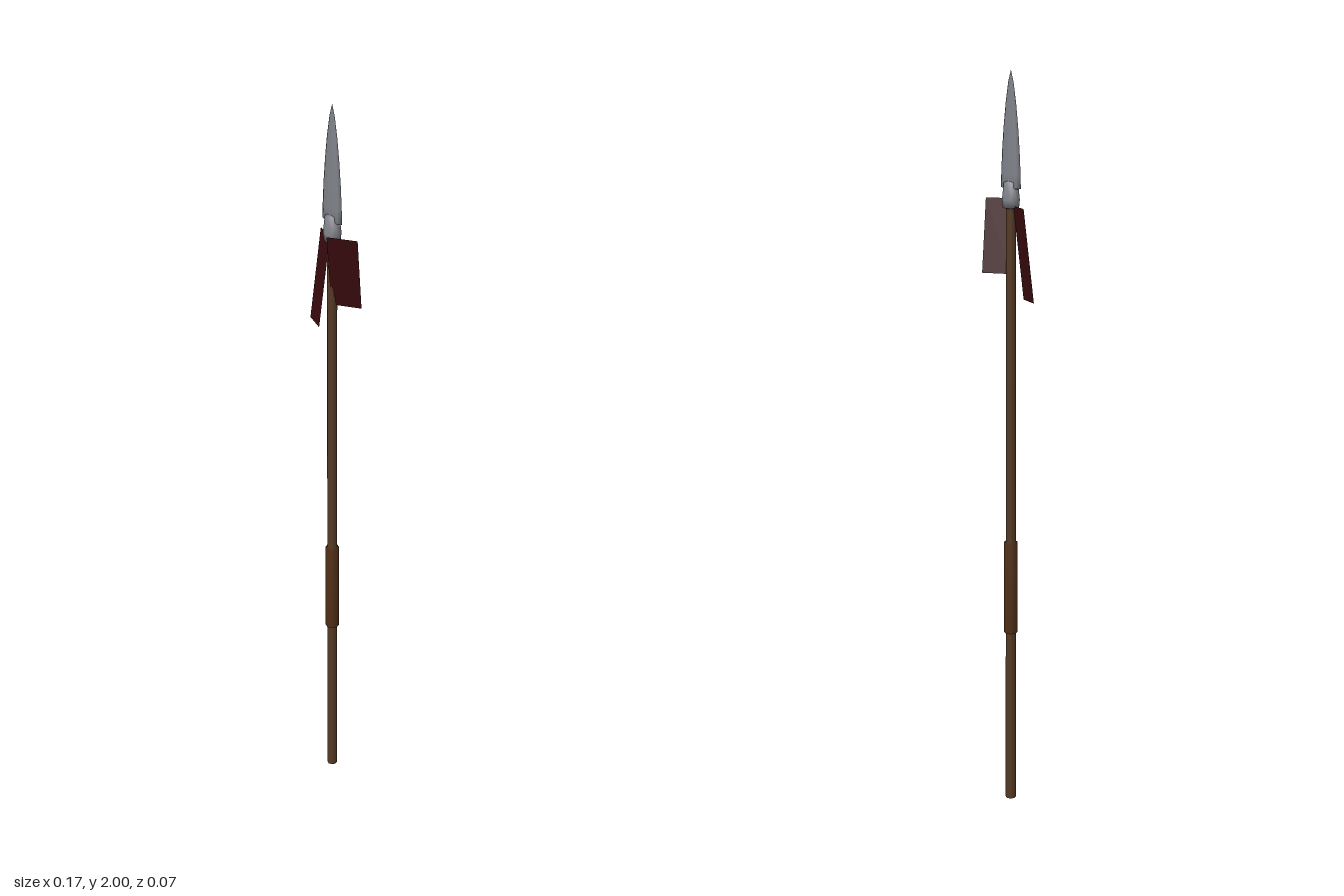
import * as THREE from 'three';

const paint = (name, color) => {
  const m = new THREE.MeshStandardMaterial({ color });
  m.name = name;
  return m;
};

export function createModel() {
  const spear = new THREE.Group();
  spear.name = 'spear';
  const wood = paint('wood', 0x553a24);
  const leather = paint('leather', 0x523018);
  const steel = paint('steel', 0x80838a);
  const cloth = paint('cloth', 0x3a0a0e);
  cloth.side = THREE.DoubleSide;

  // Turned part from [radius, height] points, listed bottom to top
  function turned(name, material, points, sides = 8) {
    const profile = points.map(([r, y]) => new THREE.Vector2(r, y));
    const mesh = new THREE.Mesh(new THREE.LatheGeometry(profile, sides), material);
    mesh.name = name;
    spear.add(mesh);
    return mesh;
  }

  turned('shaft', wood, [[0, 0], [0.0145, 0], [0.0125, 1.67], [0, 1.67]]);
  turned('grip', leather, [[0, 0.495], [0.0185, 0.495], [0.0185, 0.755], [0, 0.755]]);
  turned('socket', steel, [[0, 1.65], [0.021, 1.655], [0.023, 1.675], [0.018, 1.72], [0, 1.725]]);

  // Leaf-shaped blade, flattened front to back
  const blade = turned('blade', steel, [
    [0, 1.7], [0.036, 1.705], [0.035, 1.74], [0.0315, 1.8],
    [0.026, 1.86], [0.0185, 1.92], [0.0095, 1.97], [0, 2],
  ]);
  blade.scale.z = 0.22;

  // Cloth strip: bottom inner corner, width vector and rise vector
  function pennant(name, corner, width, rise) {
    const o = new THREE.Vector3(...corner);
    const w = new THREE.Vector3(...width);
    const r = new THREE.Vector3(...rise);
    const geo = new THREE.PlaneGeometry(1, 1);
    const pos = geo.attributes.position;
    for (let i = 0; i < pos.count; i++) {
      const p = o.clone()
        .addScaledVector(w, pos.getX(i) + 0.5)
        .addScaledVector(r, pos.getY(i) + 0.5);
      pos.setXYZ(i, p.x, p.y, p.z);
    }
    geo.computeVertexNormals();
    const mesh = new THREE.Mesh(geo, cloth);
    mesh.name = name;
    spear.add(mesh);
  }

  pennant('leftPennant', [0.001, 1.483, 0.004], [0.07, 0, -0.039], [0.013, 0.192, 0.027]);
  pennant('rightPennant', [-0.084, 1.417, 0], [0.061, 0, 0.024], [0.012, 0.243, -0.026]);

  return spear;
}
